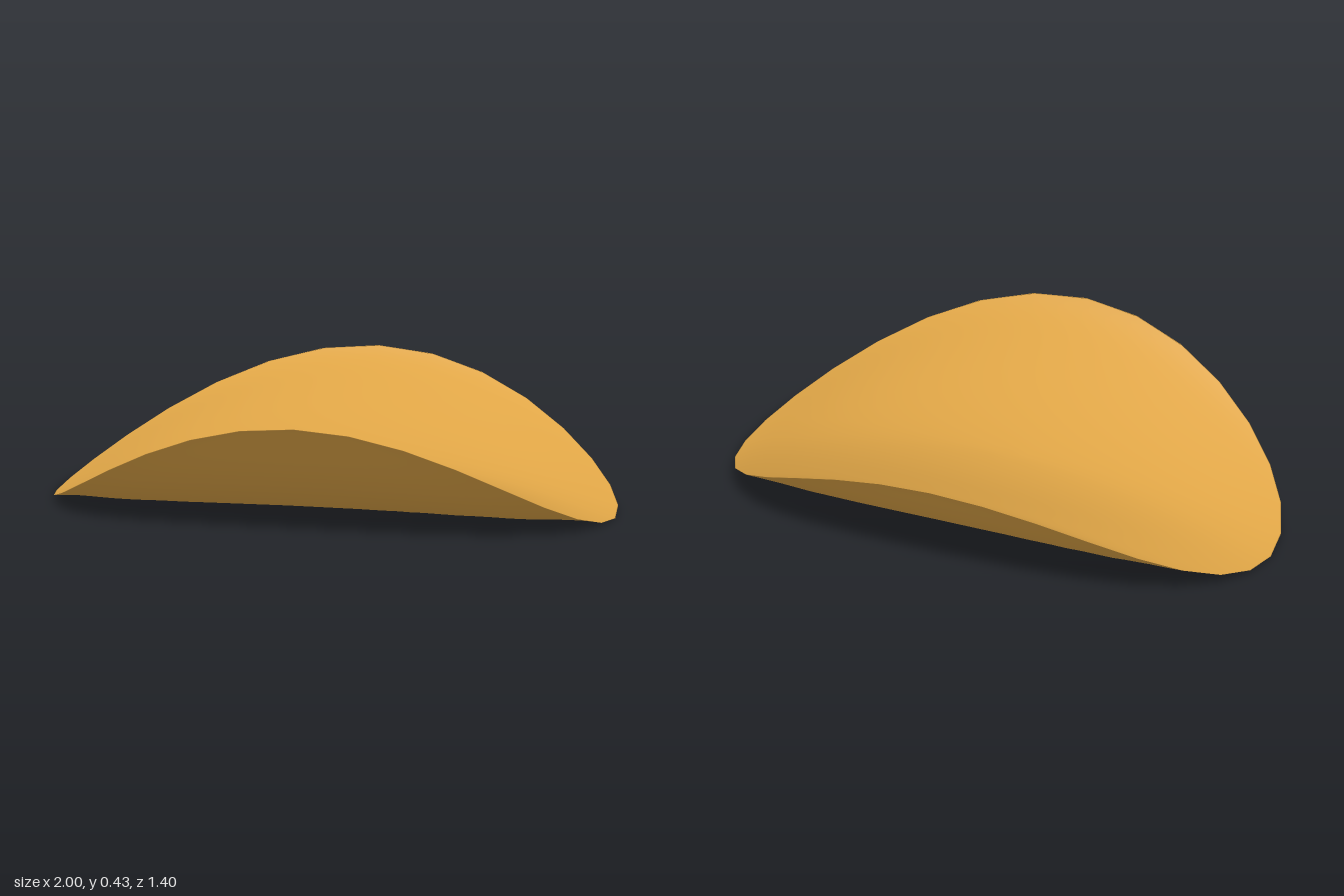
import * as THREE from 'three';
import { mergeVertices } from 'three/addons/utils/BufferGeometryUtils.js';

const HALF_DEPTH = 0.7;

// Saddle-shaped upper face: falls towards the sides, rises to front and back
const topHeight = (x, s) => 0.19 - 0.175 * x * x + 0.24 * Math.pow(Math.abs(s), 1.7);

// Trough-shaped underside, almost straight from side to side
const bottomHeight = (x, s) => 0.03 - 0.025 * x * x + 0.4 * Math.pow(Math.abs(s), 2.6);

export function createModel() {
  const group = new THREE.Group();
  group.name = 'curvedChip';

  const golden = new THREE.MeshStandardMaterial({ color: 0xdfa546 });
  golden.name = 'golden';

  // A sphere flattened between the two faces, so the rim closes in a thin rounded edge
  const sphere = new THREE.SphereGeometry(1, 32, 40);
  sphere.deleteAttribute('uv');
  sphere.deleteAttribute('normal');
  const geometry = mergeVertices(sphere, 1e-4);
  const pos = geometry.attributes.position;
  for (let i = 0; i < pos.count; i++) {
    const x = pos.getX(i);
    const s = pos.getZ(i);
    const side = Math.abs(pos.getY(i)) < 1e-4 ? 0 : Math.sign(pos.getY(i));
    const radius = Math.min(1, Math.hypot(x, s));
    const top = topHeight(x, s);
    const bottom = bottomHeight(x, s);
    const half = ((top - bottom) / 2) * (1 - Math.pow(radius, 8));
    // The front lip stands slightly higher than the back one
    const tilt = 0.012 * s * s * s;
    pos.setXYZ(i, x, (top + bottom) / 2 + side * half + tilt - 0.004, s * HALF_DEPTH);
  }
  geometry.computeVertexNormals();

  const chip = new THREE.Mesh(geometry, golden);
  chip.name = 'chipBody';
  group.add(chip);
  return group;
}
